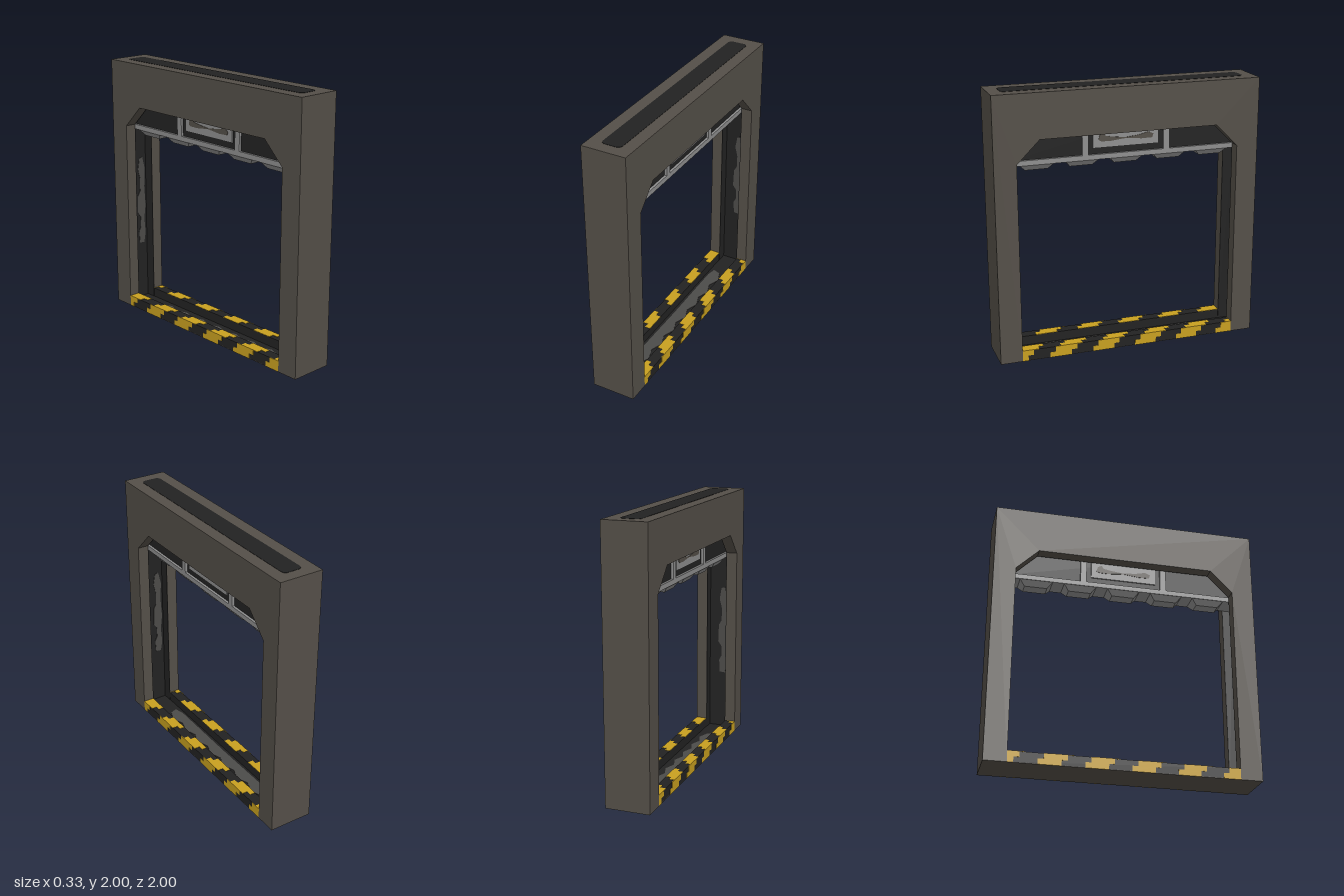
import * as THREE from 'three';

const material = (name, color) => {
  const m = new THREE.MeshStandardMaterial({ color });
  m.name = name;
  return m;
};

export function createModel() {
  const stone = material('warm grey frame', 0x544f48);
  const black = material('black lining', 0x222222);
  const steel = material('light grey steel', 0x8e8e8e);
  const yellow = material('hazard yellow', 0xc8a020);
  const worn = material('worn grey', 0x4c4b49);

  const model = new THREE.Group();
  model.name = 'slidingDoorFrame';
  const half = new THREE.Group(); // one side; repeated by a half turn
  half.name = 'frameHalf';

  const add = (parent, name, geometry, mat) => {
    const mesh = new THREE.Mesh(geometry, mat);
    mesh.name = name;
    parent.add(mesh);
    return mesh;
  };
  // Box given by its limits on each axis
  const box = (parent, name, mat, [x0, x1], [y0, y1], [z0, z1]) => {
    const g = new THREE.BoxGeometry(x1 - x0, y1 - y0, z1 - z0);
    g.translate((x0 + x1) / 2, (y0 + y1) / 2, (z0 + z1) / 2);
    return add(parent, name, g, mat);
  };
  const extrude = (points, depth) => new THREE.ExtrudeGeometry(
    new THREE.Shape(points.map(([u, v]) => new THREE.Vector2(u, v))),
    { depth, bevelEnabled: false });
  // Profile drawn as seen from +x, extruded from x0 along +x
  const sideExtrude = (points, x0, depth) =>
    extrude(points, depth).rotateY(Math.PI / 2).translate(x0, 0, 0);
  // Profile drawn as seen from above, extruded from y0 upward
  const topExtrude = (points, y0, depth) =>
    extrude(points, depth).rotateX(-Math.PI / 2).translate(0, y0, 0);

  // Arch with chamfered upper corners
  const arch = (outer, top, base) => [
    [-outer, base], [-0.835, base], [-0.835, 1.5], [-0.667, 1.667],
    [0.667, 1.667], [0.835, 1.5], [0.835, base], [outer, base],
    [outer, top], [-outer, top]];
  add(half, 'sideArch', sideExtrude(arch(1, 2, 0), 0.083, 0.084), stone);
  add(half, 'archLining', sideExtrude(arch(0.95, 1.95, 0.005), 0.08, 0.003), black);

  // Closed outer wall behind the door groove
  box(half, 'jambCore', stone, [-0.083, 0.083], [0, 1.92], [-1, -0.92]);
  box(half, 'jambGroove', black, [-0.082, 0.082], [0.005, 1.92], [-0.921, -0.915]);
  add(half, 'jambWear', extrude([
    [0.005, 0.48], [0.05, 0.475], [0.065, 0.56], [0.055, 0.68], [0.07, 0.8],
    [0.06, 0.95], [0.068, 1.1], [0.045, 1.2], [0.015, 1.19], [0, 1.1],
    [0.02, 1.02], [0.018, 0.92], [-0.005, 0.88], [-0.01, 0.74], [0.018, 0.7],
    [0.02, 0.62], [0, 0.58]], 0.004).translate(0, 0, -0.916), worn);

  // Sill edge with stepped hazard stripes on its face and top
  box(half, 'sillEdge', black, [0.083, 0.165], [0.003, 0.082], [-0.835, 0.835]);
  const rows = [
    [[0.163, 0.167], [0, 0.0415]], [[0.163, 0.167], [0.0415, 0.083]],
    [[0.125, 0.167], [0.08, 0.084]], [[0.083, 0.125], [0.08, 0.084]]];
  rows.forEach(([xs, ys], row) => {
    for (let k = -4; k <= 4; k++) {
      const start = 0.125 - row * 0.0417 + k / 3;
      const z0 = Math.max(start, -0.835);
      const z1 = Math.min(start + 1 / 6, 0.835);
      if (z1 > z0) box(half, 'hazardStripe', yellow, xs, ys, [z0, z1]);
    }
  });

  const otherHalf = half.clone();
  otherHalf.rotation.y = Math.PI;
  model.add(half, otherHalf);

  // Header, base and groove floor
  box(model, 'headerCore', stone, [-0.083, 0.083], [1.92, 2], [-1, 1]);
  box(model, 'basePlate', stone, [-0.165, 0.165], [0, 0.005], [-0.92, 0.92]);
  box(model, 'grooveFloor', black, [-0.083, 0.083], [0.004, 0.01], [-0.918, 0.918]);

  // Worn strip along the groove floor, with one ragged edge
  const wear = [[-0.05, 0.68], [-0.065, 0.6], [-0.06, 0], [-0.065, -0.6], [-0.045, -0.68]];
  for (let i = 0; i <= 14; i++) wear.push([i % 2 ? 0.045 : 0.012, -0.66 + i * 0.094]);
  add(model, 'floorWear', topExtrude(wear, 0.009, 0.004), worn);

  // Dark inset on top
  const inset = [];
  for (const [sx, sz] of [[1, 1], [-1, 1], [-1, -1], [1, -1]]) {
    const corner = [[0.075, 0.88], [0.068, 0.9], [0.05, 0.912]];
    if (sx * sz < 0) corner.reverse();
    corner.forEach(([x, z]) => inset.push([sx * x, sz * z]));
  }
  add(model, 'topInset', topExtrude(inset, 1.998, 0.004), black);

  // Raised door, showing just below the header
  const door = new THREE.Group();
  door.name = 'raisedDoor';
  model.add(door);
  box(door, 'doorPanel', black, [-0.06, 0.06], [1.49, 1.9], [-0.9, 0.9]);
  box(door, 'doorBottomRail', steel, [-0.079, 0.079], [1.463, 1.5], [-0.9, 0.9]);
  for (const z of [-0.31, 0.31]) {
    box(door, 'doorUpright', steel, [-0.079, 0.079], [1.5, 1.9], [z - 0.023, z + 0.023]);
  }
  box(door, 'doorCentrePlate', steel, [-0.07, 0.07], [1.545, 1.8], [-0.25, 0.25]);

  // Worn patch on both faces of the centre plate
  const patch = sideExtrude([
    [-0.19, 1.592], [-0.12, 1.59], [0, 1.603], [0.12, 1.59], [0.2, 1.592],
    [0.21, 1.62], [0.17, 1.637], [0.1, 1.62], [0, 1.609], [-0.1, 1.62],
    [-0.155, 1.63], [-0.17, 1.655], [-0.2, 1.64], [-0.21, 1.605]], 0.069, 0.004);
  add(door, 'plateWear', patch, stone);
  add(door, 'plateWear', patch, stone).rotation.y = Math.PI;

  // Tapered teeth under the rail
  for (let i = -2; i <= 2; i++) {
    const tooth = new THREE.BoxGeometry(0.156, 0.045, 0.25);
    const p = tooth.attributes.position;
    for (let v = 0; v < p.count; v++) {
      if (p.getY(v) < 0) {
        p.setX(v, p.getX(v) * 0.58);
        p.setZ(v, p.getZ(v) * 0.68);
      }
    }
    tooth.computeVertexNormals();
    add(door, 'doorTooth', tooth, steel).position.set(0, 1.443, i / 3);
  }
  return model;
}
